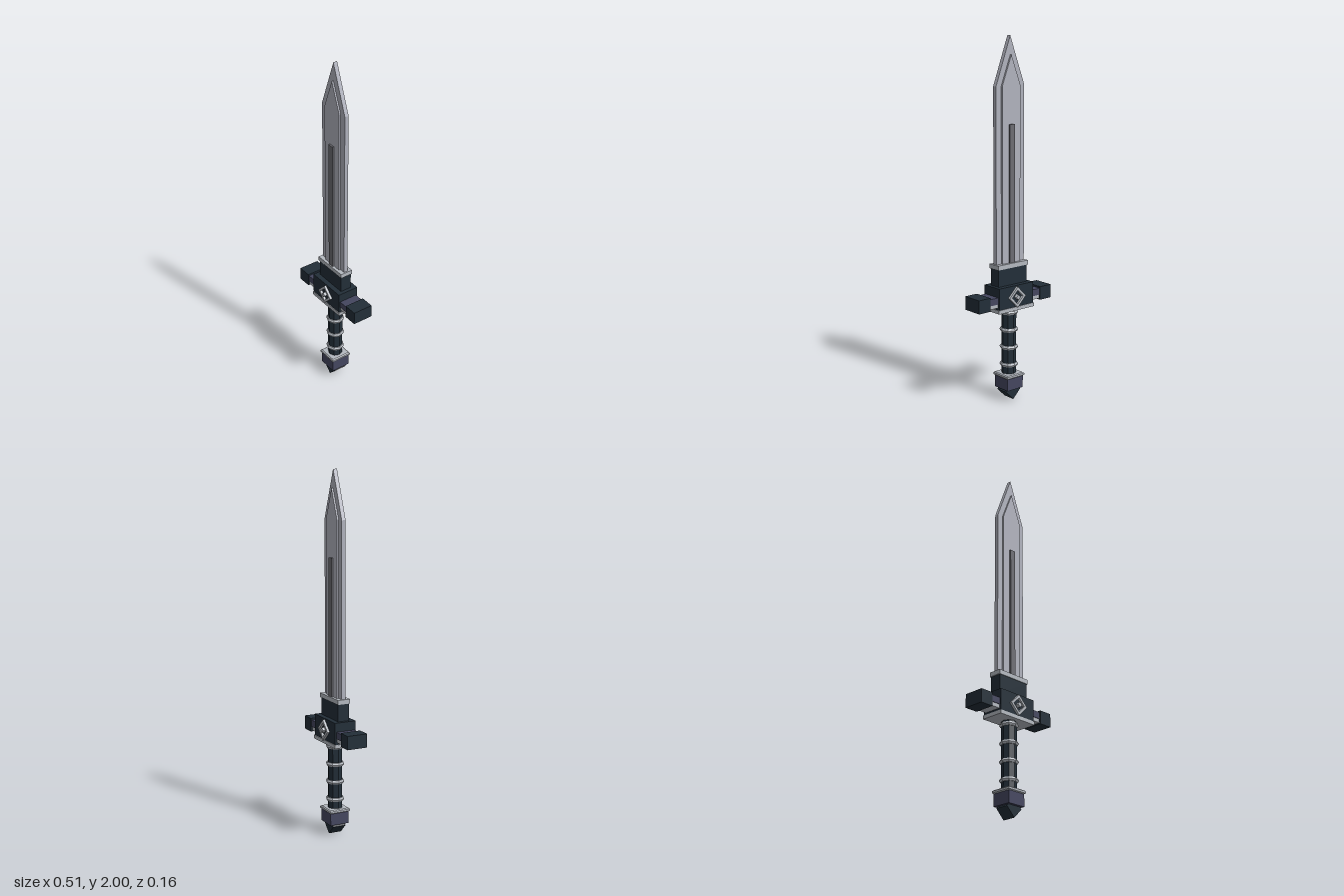
import * as THREE from 'three';

const mat = (name, color) => Object.assign(new THREE.MeshStandardMaterial({ color }), { name });

export function createModel() {
  const steel = mat('steel', 0xb0b2bd);
  const trim = mat('silver trim', 0xb4b9c0);
  const groove = mat('groove grey', 0x6c6c72);
  const dark = mat('dark slate', 0x222e38);
  const violet = mat('muted violet', 0x44465f);

  const sword = new THREE.Group();
  sword.name = 'sword';
  const add = (name, geometry, material, x = 0, y = 0, z = 0) => {
    const mesh = new THREE.Mesh(geometry, material);
    mesh.name = name;
    mesh.position.set(x, y, z);
    sword.add(mesh);
    return mesh;
  };
  // box from half width, bottom, top and half depth
  const block = (name, material, hx, y0, y1, hz, x = 0) =>
    add(name, new THREE.BoxGeometry(2 * hx, y1 - y0, 2 * hz), material, x, (y0 + y1) / 2);
  // outline in x and y, extruded evenly about z = 0
  const slab = (name, material, shape, hz, y = 0) => {
    const g = new THREE.ExtrudeGeometry(shape, { depth: 2 * hz, bevelEnabled: false });
    return add(name, g.translate(0, 0, -hz), material, 0, y);
  };
  const outline = (pts) => new THREE.Shape(pts.map(([x, y]) => new THREE.Vector2(x, y)));
  const diamond = (r) => [[r, 0], [0, r], [-r, 0], [0, -r]];

  // blade: thin cutting edge, thicker core, raised central rib
  const blade = (w, tip) => outline([[-w, 0.77], [w, 0.77], [w, 1.738], [0, tip], [-w, 1.738]]);
  slab('bladeEdge', steel, blade(0.098, 2), 0.0115);
  slab('bladeCore', steel, blade(0.063, 1.9), 0.021);
  block('bladeRib', groove, 0.017, 0.77, 1.535, 0.031);

  // collar and guard
  block('bladeCollar', trim, 0.106, 0.755, 0.78, 0.037);
  block('bladeSocket', dark, 0.1, 0.65, 0.755, 0.033);
  block('guardBlock', dark, 0.121, 0.54, 0.66, 0.0625);
  block('guardPlate', trim, 0.125, 0.52, 0.54, 0.066);
  for (const s of [-1, 1]) {
    block('guardArm', violet, 0.035, 0.573, 0.61, 0.054, s * 0.15);
    block('guardArmStrip', trim, 0.035, 0.552, 0.573, 0.05, s * 0.15);
    block('guardEnd', dark, 0.039, 0.545, 0.62, 0.0585, s * 0.218);
  }

  // diamond ornament passing through the guard, seen on both faces
  const frame = outline(diamond(0.058));
  frame.holes.push(new THREE.Path(diamond(0.039).map(([x, y]) => new THREE.Vector2(x, y))));
  slab('diamondFrame', trim, frame, 0.076, 0.597);
  slab('diamondStud', trim, outline(diamond(0.015)), 0.082, 0.597);

  // eight-sided grip with raised bands
  const facet = (g) => {
    const flat = g.toNonIndexed();
    flat.computeVertexNormals();
    return flat;
  };
  add('grip', facet(new THREE.CylinderGeometry(0.041, 0.041, 0.39, 8)), dark, 0, 0.33);
  for (const y of [0.2, 0.3, 0.4, 0.5]) {
    const band = new THREE.TorusGeometry(0.04, 0.012, 6, 8).rotateX(Math.PI / 2);
    add('gripBand', facet(band), trim, 0, y);
  }

  // pommel: square bevelled cap, block and wedge foot
  const cap = [[0, -0.01], [0.055, -0.01], [0.061, -0.005], [0.061, 0.005], [0.055, 0.01], [0, 0.01]]
    .map(([r, y]) => new THREE.Vector2(r * Math.SQRT2, y));
  add('pommelCap', facet(new THREE.LatheGeometry(cap, 4, Math.PI / 4)), trim, 0, 0.14);
  block('pommelBlock', violet, 0.055, 0.063, 0.132, 0.055);
  const side = 0.052 * Math.SQRT2;
  add('pommelFoot', new THREE.BoxGeometry(side, side, 0.076), dark, 0, 0.052).rotation.z = Math.PI / 4;

  return sword;
}
